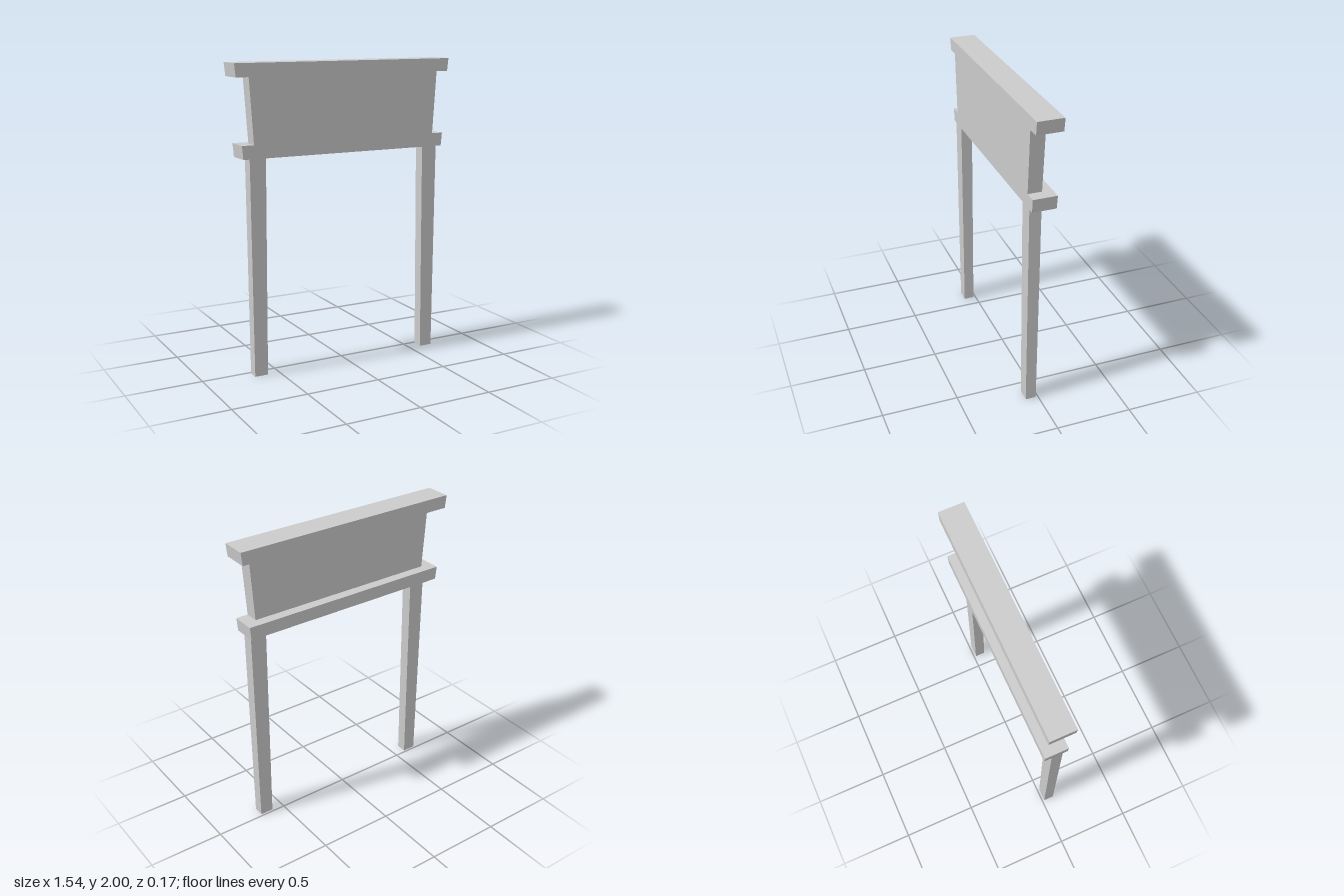
import * as THREE from 'three';

const FRONT = 0.085; // all parts share this flat front plane

// Box between y0 and y1 whose x range and back depth change from bottom to top.
// Each end is [xMin, xMax, zBack].
function taperedBlock(name, y0, y1, bottom, top, material) {
  const geometry = new THREE.BoxGeometry(1, 1, 1);
  const p = geometry.attributes.position;
  for (let i = 0; i < p.count; i++) {
    const isTop = p.getY(i) > 0;
    const [xMin, xMax, zBack] = isTop ? top : bottom;
    p.setXYZ(i, p.getX(i) > 0 ? xMax : xMin, isTop ? y1 : y0, p.getZ(i) > 0 ? FRONT : zBack);
  }
  geometry.computeVertexNormals();
  const mesh = new THREE.Mesh(geometry, material);
  mesh.name = name;
  return mesh;
}

export function createModel() {
  const group = new THREE.Group();
  group.name = 'panelOnLegs';
  const material = new THREE.MeshStandardMaterial({ color: 0xcccccc, flatShading: true });

  // Overhanging cap, upright panel and lower ledge
  group.add(
    taperedBlock('topLedge', 1.915, 2, [-0.762, 0.762, -0.084], [-0.771, 0.771, -0.085], material),
    taperedBlock('panel', 1.5, 1.915, [-0.651, 0.651, -0.006], [-0.678, 0.678, -0.01], material),
    taperedBlock('lowerLedge', 1.413, 1.5, [-0.723, 0.723, -0.07], [-0.731, 0.731, -0.072], material)
  );

  // Legs, slightly wider at the top
  for (const side of [1, -1]) {
    const span = (a, b, z) => (side > 0 ? [a, b, z] : [-b, -a, z]);
    group.add(taperedBlock(side > 0 ? 'leftLeg' : 'rightLeg', 0, 1.413,
      span(0.583, 0.672, 0.015), span(0.573, 0.682, 0.008), material));
  }
  return group;
}
